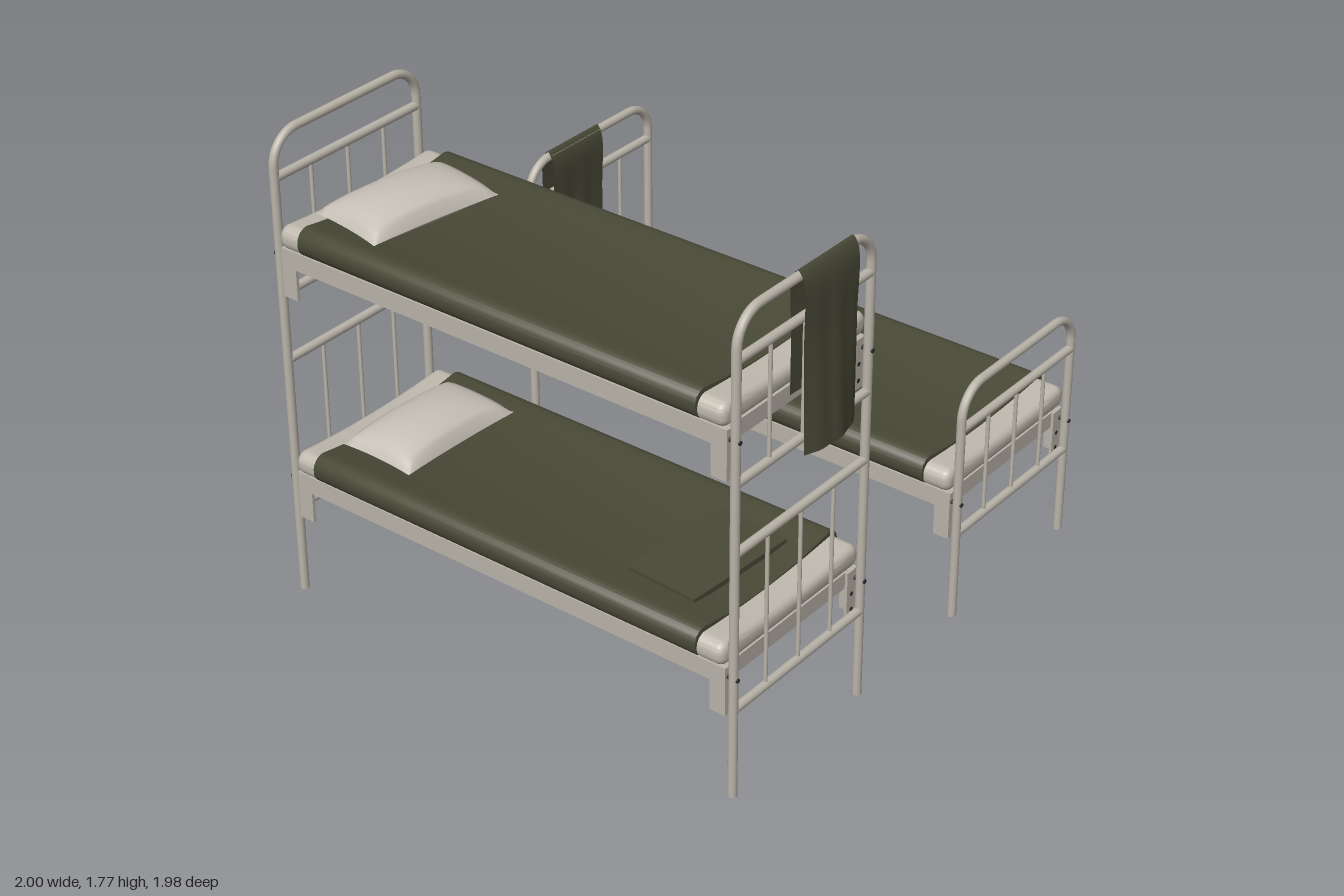
import * as THREE from 'three';
import { mergeGeometries, toCreasedNormals } from 'three/addons/utils/BufferGeometryUtils.js';

const paint = (name, color, side = THREE.FrontSide) => {
  const m = new THREE.MeshStandardMaterial({ color, side });
  m.name = name;
  return m;
};

export function createModel() {
  const steel = paint('painted steel', 0xbab4a9);
  const ticking = paint('mattress ticking', 0xbfb9ae);
  const linen = paint('pillow linen', 0xc6c0b6);
  const wool = paint('olive wool', 0x494937, THREE.DoubleSide);
  const wire = paint('dark wire', 0x2f2e2c);

  const HALF = 0.339, END = 0.932, R = 0.016, CORNER = 0.11;

  const add = (parent, name, geo, mat, x = 0, y = 0, z = 0) => {
    const m = new THREE.Mesh(geo, mat);
    m.name = name;
    m.position.set(x, y, z);
    parent.add(m);
    return m;
  };
  const box = (p, name, mat, w, h, d, x, y, z) => add(p, name, new THREE.BoxGeometry(w, h, d), mat, x, y, z);
  const post = (p, name, r, x, y0, y1, z) =>
    add(p, name, new THREE.CylinderGeometry(r, r, y1 - y0, 14), steel, x, (y0 + y1) / 2, z);
  const bar = (p, name, halfLen, y, z) => {
    add(p, name, new THREE.CylinderGeometry(R, R, halfLen * 2, 14), steel, 0, y, z).rotation.z = Math.PI / 2;
  };
  const bolt = (p, name, len, x, y, z) => {
    add(p, name, new THREE.CylinderGeometry(0.008, 0.008, len, 10), wire, x, y, z).rotation.x = Math.PI / 2;
  };

  // Tubular end frame: legs, rounded corners, crossbars and spindles
  function endFrame(parent, name, z, top, bars, spans) {
    const g = new THREE.Group();
    g.name = name;
    g.position.z = z;
    for (const s of [-1, 1]) {
      post(g, 'leg', R, s * HALF, 0, top - CORNER, 0);
      const arc = add(g, 'cornerBend', new THREE.TorusGeometry(CORNER, R, 12, 12, Math.PI / 2),
        steel, s * (HALF - CORNER), top - CORNER, 0);
      if (s < 0) arc.rotation.y = Math.PI;
    }
    bar(g, 'topBar', HALF - CORNER, top, 0);
    for (const y of bars) bar(g, 'crossbar', HALF, y, 0);
    for (const [a, b] of spans)
      for (const x of [-0.172, 0, 0.172]) post(g, 'spindle', 0.007, x, a, b, 0);
    parent.add(g);
  }

  // Long padded section with rounded corners (r), sagging top and bevelled ends
  function padding(halfW, halfL, y0, y1, sag, r, bevel) {
    const w = halfW - bevel - r, lo = y0 + bevel + r, hi = y1 - bevel - r;
    const s = new THREE.Shape();
    s.absarc(-w, lo, r, Math.PI, Math.PI * 1.5);
    s.absarc(w, lo, r, Math.PI * 1.5, Math.PI * 2);
    s.absarc(w, hi, r, 0, Math.PI / 2);
    for (let i = 1; i < 16; i++) {
      const u = 1 - i / 8;
      s.lineTo(u * w, hi + r - sag * (1 - u * u));
    }
    s.absarc(-w, hi, r, Math.PI / 2, Math.PI);
    const len = 2 * (halfL - bevel);
    const geo = new THREE.ExtrudeGeometry(s, {
      depth: len, curveSegments: 7, bevelEnabled: true, bevelSize: bevel, bevelThickness: bevel, bevelSegments: 5,
    });
    geo.translate(0, 0, -len / 2);
    return toCreasedNormals(geo, 0.7);
  }

  // Pillow from two bulged sheets with pulled-out corners
  function pillowGeometry() {
    const sheets = [[-1, 0.078], [1, 0.03]].map(([side, h]) => {
      const geo = new THREE.PlaneGeometry(2, 2, 24, 18).rotateX(side * Math.PI / 2);
      const p = geo.attributes.position;
      for (let i = 0; i < p.count; i++) {
        const u = p.getX(i), v = p.getZ(i);
        const a = Math.max(0, 1 - u * u), b = Math.max(0, 1 - v * v);
        p.setXYZ(i, u * 0.258 * (1 - 0.035 * b), -side * h * Math.pow(a * b, 0.4), v * 0.153 * (1 - 0.045 * a));
      }
      geo.computeVertexNormals();
      return geo;
    });
    return mergeGeometries(sheets);
  }

  // One sleeping deck: angle rails, spring net, mattress, blanket and pillow
  function deck(parent, name, lift, px, pz, turn) {
    const g = new THREE.Group();
    g.name = name;
    g.position.y = lift;
    for (const s of [-1, 1]) {
      box(g, 'sideRail', steel, 0.012, 0.066, 1.82, s * 0.347, 0.458, 0);
      box(g, 'railLip', steel, 0.03, 0.008, 1.8, s * 0.33, 0.486, 0);
      box(g, 'endRail', steel, 0.64, 0.06, 0.012, 0, 0.455, s * 0.89);
      for (const e of [-1, 1]) {
        box(g, 'gussetSide', steel, 0.012, 0.18, 0.06, s * 0.347, 0.4, e * 0.88);
        box(g, 'gussetFlange', steel, 0.055, 0.18, 0.01, s * 0.325, 0.4, e * 0.905);
        bolt(g, 'postBolt', 0.06, s * HALF, 0.455, e * 0.921);
        for (const y of [0.34, 0.4]) bolt(g, 'gussetBolt', 0.014, s * 0.322, y, e * 0.904);
      }
    }
    for (let i = -3; i <= 3; i++) box(g, 'longWire', wire, 0.01, 0.008, 1.77, i * 0.094, 0.481, 0);
    for (let i = -9; i <= 9; i++) box(g, 'crossWire', wire, 0.66, 0.008, 0.01, 0, 0.475, i * 0.094);
    add(g, 'mattress', padding(0.367, 0.907, 0.49, 0.576, 0.014, 0.01, 0.028), ticking);
    add(g, 'blanket', padding(0.378, 0.81, 0.491, 0.595, 0.028, 0.045, 0.004), wool);
    add(g, 'pillow', pillowGeometry(), linen, px, 0.606, pz).rotation.y = turn;
    parent.add(g);
    return g;
  }

  // Towel hung over a top bar; outward follows local +z
  function towel(parent, top, inner, outer, z) {
    const path = new THREE.CatmullRomCurve3([
      [-0.024, -inner], [-0.022, -inner * 0.5], [-0.021, -0.01], [0, 0.022], [0.022, -0.01],
      [0.026, -outer * 0.4], [0.031, -outer],
    ].map(([d, y]) => new THREE.Vector3(0, y, d)));
    const geo = new THREE.PlaneGeometry(2, 1, 16, 60);
    const p = geo.attributes.position;
    for (let i = 0; i < p.count; i++) {
      const u = p.getX(i), q = path.getPoint(p.getY(i) + 0.5);
      const drop = Math.max(0, -q.y);
      const bow = q.z > 0 ? 0.027 * Math.min(1, drop / 0.6) * (1 - u * u) : 0;
      const fold = 0.003 * Math.sin(u * 8) * Math.min(1, drop * 4) * (1 - u * u);
      p.setXYZ(i, u * (0.14 - 0.014 * drop), q.y, q.z + bow + fold);
    }
    geo.computeVertexNormals();
    const m = add(parent, 'towel', geo, wool, 0, top, z);
    if (z < 0) m.rotation.y = Math.PI;
    return m;
  }

  const model = new THREE.Group();
  model.name = 'dormitoryBeds';

  // Bunk bed
  const bunk = new THREE.Group();
  bunk.name = 'bunkBed';
  bunk.position.x = -0.622;
  for (const s of [-1, 1])
    endFrame(bunk, s > 0 ? 'footFrame' : 'headFrame', s * END, 1.745,
      [0.335, 0.918, 1.17, 1.597], [[0.335, 0.918], [1.17, 1.597]]);
  const lower = deck(bunk, 'lowerDeck', 0, -0.005, -0.62, -0.03);
  deck(bunk, 'upperDeck', 0.866, -0.033, -0.64, -0.16);
  box(lower, 'foldedBlanket', wool, 0.45, 0.02, 0.28, 0, 0.582, 0.57).rotation.y = -0.06;
  towel(bunk, 1.745, 0.42, 0.615, END).position.x = 0.097;
  model.add(bunk);

  // Single bed
  const single = new THREE.Group();
  single.name = 'singleBed';
  single.position.x = 0.62;
  endFrame(single, 'footFrame', END, 0.893, [0.335, 0.745], [[0.335, 0.745]]);
  endFrame(single, 'headFrame', -END, 1.13, [0.335, 0.98], [[0.335, 0.98]]);
  deck(single, 'singleDeck', 0, 0, -0.625, -0.04);
  towel(single, 1.13, 0.45, 0.62, -END).position.x = -0.095;
  model.add(single);

  return model;
}
